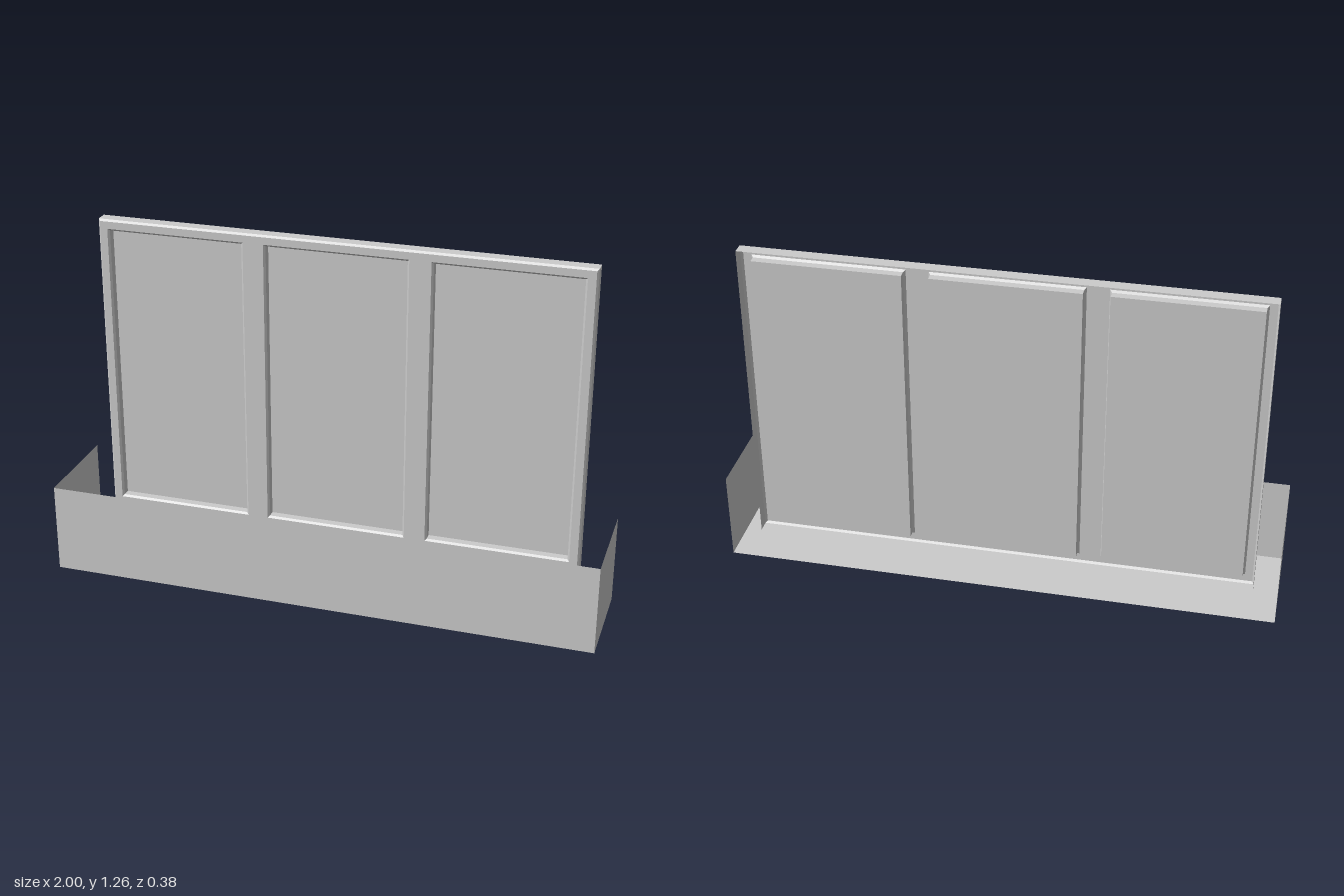
import * as THREE from 'three';

const material = new THREE.MeshStandardMaterial({
  color: 0xcccccc, flatShading: true, side: THREE.DoubleSide,
});

// Rectangle corners, counter-clockwise; inset shrinks it on all sides
const rect = ([x0, x1, y0, y1], inset = 0) => [
  [x0 + inset, y0 + inset], [x1 - inset, y0 + inset],
  [x1 - inset, y1 - inset], [x0 + inset, y1 - inset],
];

// Band of four-sided loops, each loop being { corners, z }
function band(loops) {
  const points = [];
  for (let k = 0; k < loops.length - 1; k++) {
    const a = loops[k], b = loops[k + 1];
    for (let i = 0; i < 4; i++) {
      const j = (i + 1) % 4;
      const p = [
        [...a.corners[i], a.z], [...a.corners[j], a.z],
        [...b.corners[j], b.z], [...b.corners[i], b.z],
      ];
      points.push(...p[0], ...p[1], ...p[2], ...p[0], ...p[2], ...p[3]);
    }
  }
  const geometry = new THREE.BufferGeometry();
  geometry.setAttribute('position', new THREE.Float32BufferAttribute(points, 3));
  geometry.computeVertexNormals();
  return geometry;
}

function add(parent, name, geometry, position = [0, 0, 0], rotation = [0, 0, 0]) {
  const mesh = new THREE.Mesh(geometry, material);
  mesh.name = name;
  mesh.position.set(...position);
  mesh.rotation.set(...rotation);
  parent.add(mesh);
  return mesh;
}

const toPoints = (corners) => corners.map(([x, y]) => new THREE.Vector2(x, y));

// Balcony tray: thin floor, front wall and side walls, open at top and back
function createBalcony() {
  const balcony = new THREE.Group();
  balcony.name = 'balcony';
  const width = 2, height = 0.33, depth = 0.38;
  add(balcony, 'floor', new THREE.PlaneGeometry(width, depth), [0, 0, 0], [Math.PI / 2, 0, 0]);
  add(balcony, 'frontWall', new THREE.PlaneGeometry(width, height), [0, height / 2, depth / 2]);
  for (const [name, s] of [['leftWall', 1], ['rightWall', -1]]) {
    add(balcony, name, new THREE.PlaneGeometry(depth, height),
      [s * width / 2, height / 2, 0], [0, s * Math.PI / 2, 0]);
  }
  return balcony;
}

// Window: open-backed shell with three pressed-in panes
function createWindow() {
  const windowGroup = new THREE.Group();
  windowGroup.name = 'window';
  const front = -0.135, back = -0.186, paneZ = -0.17, bevel = 0.007;
  const outer = [-0.914, 0.882, 0.12, 1.262];
  const openings = [[-0.88, -0.367], [-0.291, 0.236], [0.314, 0.846]]
    .map(([x0, x1]) => [x0, x1, 0.155, 1.228]);

  // Front face with three openings
  const face = new THREE.Shape(toPoints(rect(outer, bevel)));
  for (const o of openings) face.holes.push(new THREE.Path(toPoints(rect(o).reverse())));
  add(windowGroup, 'frameFace', new THREE.ShapeGeometry(face), [0, 0, front]);

  // Outer walls with a bevelled front edge
  add(windowGroup, 'frameEdge', band([
    { corners: rect(outer), z: back },
    { corners: rect(outer), z: front - bevel },
    { corners: rect(outer, bevel), z: front },
  ]));

  // Bevelled reveals and panes
  for (const o of openings) {
    add(windowGroup, 'paneReveal', band([
      { corners: rect(o), z: front },
      { corners: rect(o, bevel), z: front - bevel },
      { corners: rect(o, bevel), z: paneZ },
    ]));
    add(windowGroup, 'pane',
      new THREE.ShapeGeometry(new THREE.Shape(toPoints(rect(o, bevel)))), [0, 0, paneZ]);
  }
  return windowGroup;
}

export function createModel() {
  const model = new THREE.Group();
  model.name = 'balconyWindow';
  model.add(createBalcony(), createWindow());
  return model;
}
